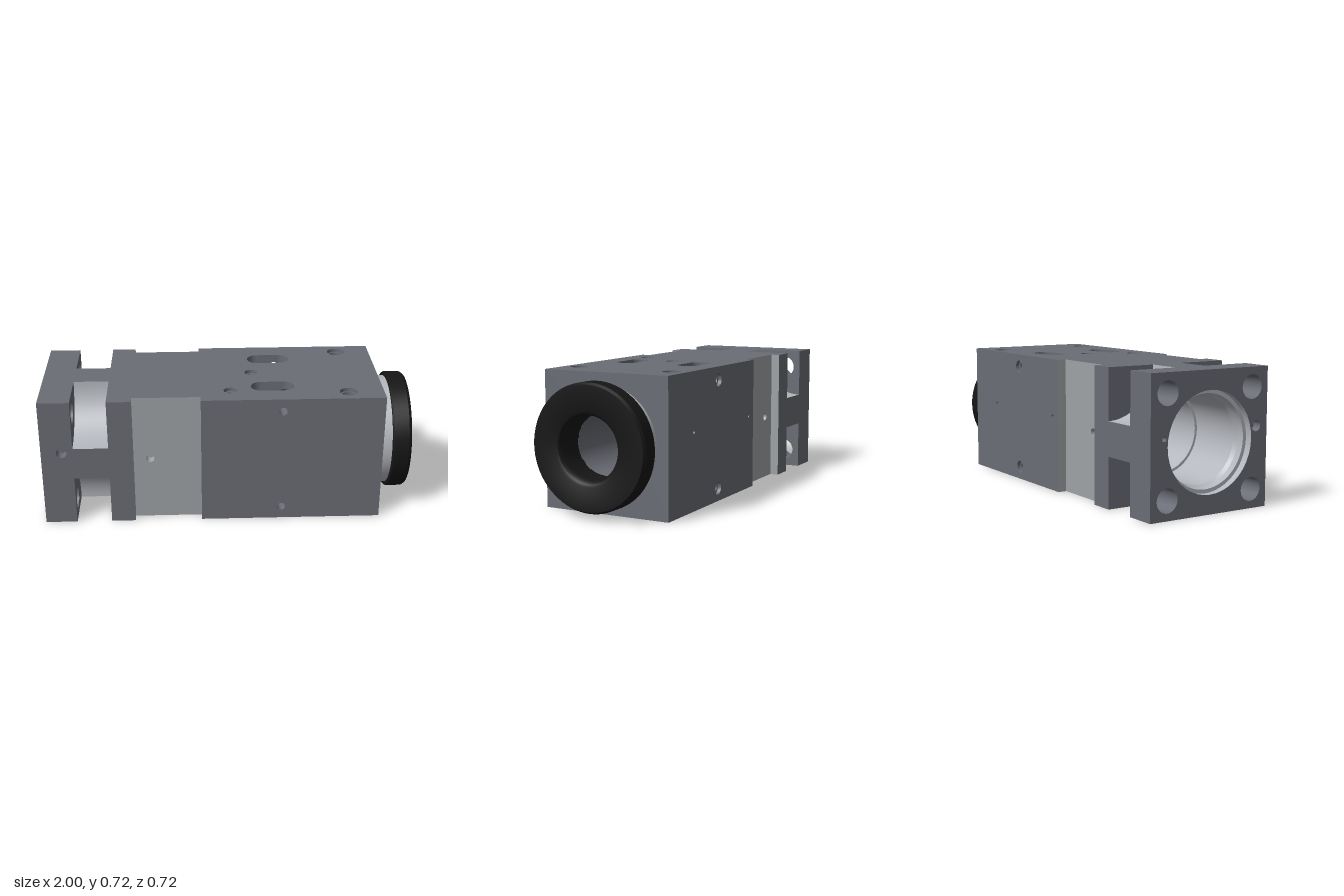
import * as THREE from 'three';
import { mergeGeometries, toCreasedNormals } from 'three/addons/utils/BufferGeometryUtils.js';

const H = 0.36;                       // half the square section
const PI = Math.PI;
const mat = (color) => new THREE.MeshStandardMaterial({ color, side: THREE.DoubleSide });

// Ruled strip between two equally long lists of points
function ruled(a, b) {
  const pos = [], idx = [], n = a.length;
  for (const p of [...a, ...b]) pos.push(p.x, p.y, p.z);
  for (let i = 0; i < n - 1; i++) idx.push(i, i + n, i + 1, i + 1, i + n, i + n + 1);
  const g = new THREE.BufferGeometry();
  g.setAttribute('position', new THREE.Float32BufferAttribute(pos, 3));
  g.setIndex(idx);
  g.computeVertexNormals();
  return g;
}

// Circle, or a slot when half (half the straight length) is above 0
function contour(u, v, r, half = 0) {
  const pts = [], n = 40;
  for (let i = 0; i <= n; i++) {
    const a = -PI / 2 + (i / n) * 2 * PI;
    const side = i < n / 2 ? 1 : -1;
    if (i === n / 2) pts.push(new THREE.Vector2(u + half, v + r));
    pts.push(new THREE.Vector2(u + side * half + r * Math.cos(a), v + r * Math.sin(a)));
  }
  pts.push(pts[0].clone());
  return pts;
}

// Hole: steps are [radius, depth]; null leaves a break in the wall
const hole = (u, v, steps, half = 0) => ({ u, v, steps, half });
const blind = (u, v, r, d) => hole(u, v, [[r, 0], [r, d], [0.0001, d]]);
const counterbore = (u, v, R, r, d) => hole(u, v, [[R, 0], [R, 0.02], [r, 0.02], [r, d]]);

const rect = (u0, v0, u1, v1) => [[u0, v0], [u1, v0], [u1, v1], [u0, v1]];

// Flat face in the local xy plane with hole walls running inward along -z
function faceGeometry(outline, holes = []) {
  const shape = new THREE.Shape(outline.map(([u, v]) => new THREE.Vector2(u, v)));
  const parts = [];
  for (const { u, v, steps, half } of holes) {
    shape.holes.push(new THREE.Path(contour(u, v, steps[0][0], half).slice(0, -2)));
    for (let i = 0; i < steps.length - 1; i++) {
      if (!steps[i] || !steps[i + 1]) continue;
      const [a, b] = [steps[i], steps[i + 1]].map(([r, d]) =>
        contour(u, v, r, half).map((p) => new THREE.Vector3(p.x, p.y, -d)));
      parts.push(ruled(a, b));
    }
  }
  const flat = new THREE.ShapeGeometry(shape);
  flat.deleteAttribute('uv');
  return mergeGeometries([flat, ...parts]);
}

export function createModel() {
  const model = new THREE.Group();
  const body = mat(0x6a6d75), light = mat(0x9fa3a6), silver = mat(0xb4b7bd), black = mat(0x161616);

  const add = (name, geo, material, pos = [0, 0, 0], rot = [0, 0, 0]) => {
    const m = new THREE.Mesh(geo, material);
    m.name = name;
    m.position.set(pos[0], pos[1] + H, pos[2]);
    m.rotation.set(...rot);
    model.add(m);
  };
  const lathe = (name, profile, material) => {
    const g = new THREE.LatheGeometry(profile.map(([r, x]) => new THREE.Vector2(r, x)), 72);
    add(name, toCreasedNormals(g, 0.5), material, [0, 0, 0], [0, 0, -PI / 2]);
  };

  // x stations: flange end, neck, waist recess, front end
  const X0 = -1, X1 = -0.83, X2 = -0.64, X3 = -0.51, X4 = -0.145, X5 = 0.835;
  const N = 0.09, W = 0.312, R = H - N;

  // Top and bottom skins with slots and vertical holes
  const half = [[X0, H], [X1, H], [X1, N], [X2, N], [X2, H], [X3, H], [X3, W], [X4, W], [X4, H], [X5, H]];
  const plan = [...half, ...half.map(([x, v]) => [x, -v]).reverse()];
  for (const s of [1, -1]) {
    const holes = [s > 0 ? counterbore(0.015, -0.235, 0.036, 0.02, 0.36)
      : hole(0.015, 0.235, [[0.02, 0], [0.02, 0.36]])];
    if (s > 0) holes.push(counterbore(0.14, 0, 0.036, 0.02, 0.1));
    for (const k of [1, -1]) {
      holes.push(hole(0.245, k * 0.187,
        [[0.057, 0], [0.057, 0.045], null, [0.057, 0.094], [0.057, 0.2]], 0.06));
      holes.push(s > 0 ? counterbore(0.645, k * 0.275, 0.048, 0.039, 0.1)
        : blind(0.645, k * 0.275, 0.032, 0.08));
    }
    add(s > 0 ? 'topSkin' : 'bottomSkin', faceGeometry(plan, holes), body, [0, s * H, 0], [-s * PI / 2, 0, 0]);
  }
  for (const k of [1, -1]) {
    add('topPlug', new THREE.CircleGeometry(0.04, 32), black, [0.645, H - 0.06, k * 0.275], [-PI / 2, 0, 0]);
  }

  // Front and back walls, with the recessed waist panels
  for (const s of [1, -1]) {
    const rot = [0, s > 0 ? 0 : PI, 0], side = s > 0 ? 'front' : 'back';
    const flange = [[X0, H], [X1, H], [X1, N], [X2, N], [X2, H], [X3, H],
      [X3, -H], [X2, -H], [X2, -N], [X1, -N], [X1, -H], [X0, -H]].map(([x, v]) => [s * x, v]);
    add(side + 'FlangeWall', faceGeometry(flange, s > 0 ? [blind(-0.89, 0.065, 0.028, 0.06)] : []),
      body, [0, 0, s * H], rot);

    const holes = [1, -1].map((k) => s > 0
      ? hole(0.292, k * 0.29, [[0.022, 0], [0.022, 0.1]])
      : counterbore(-0.292, k * 0.29, 0.035, 0.022, 0.1));
    if (s < 0) holes.push(blind(-0.57, 0.05, 0.01, 0.03), blind(0.085, 0.05, 0.01, 0.03));
    add(side + 'MainWall', faceGeometry(rect(s * X4, -H, s * X5, H), holes), body, [0, 0, s * H], rot);

    add(side + 'WaistPanel', faceGeometry(rect(s * X3, -H, s * X4, H), [blind(s * -0.42, 0, 0.022, 0.05)]),
      light, [0, 0, s * W], rot);
    for (const [x, dir] of [[X3, 1], [X4, -1]]) {
      add(side + 'WaistStep', new THREE.PlaneGeometry(H - W, 2 * H), light,
        [x, 0, s * (H + W) / 2], [0, dir * PI / 2, 0]);
    }
  }

  // Flange end with bore, bolt holes and pin holes
  const bolts = [];
  for (const a of [1, -1]) for (const b of [1, -1]) {
    bolts.push(hole(a * 0.26, b * 0.26, [[0.062, 0], [0.062, X1 - X0]]));
  }
  add('flangeEnd', faceGeometry(rect(-H, -H, H, H), [...bolts, hole(0, 0, [[0.26, 0], [0.26, 0.001]]),
    blind(0.29, 0.06, 0.028, 0.05), blind(-0.28, 0.04, 0.012, 0.04)]), body, [X0, 0, 0], [0, -PI / 2, 0]);

  // Scooped corners behind the flange
  for (const a of [1, -1]) for (const b of [1, -1]) {
    const arc = [];
    for (let i = 0; i <= 20; i++) {
      const t = (i / 20) * PI / 2;
      arc.push([a * (H - R * Math.cos(t)), b * (H - R * Math.sin(t))]);
    }
    const at = (x) => arc.map(([z, y]) => new THREE.Vector3(x, y, z));
    add('cornerScoop', ruled(at(X1), at(X2)), silver);
    const sector = [[a * H, b * H], ...arc];
    const mirrored = sector.map(([z, y]) => [-z, y]);
    add('flangeBack', faceGeometry(mirrored, [hole(-a * 0.26, b * 0.26, [[0.062, 0], [0.062, 0.001]])]),
      body, [X1, 0, 0], [0, PI / 2, 0]);
    add('scoopShoulder', faceGeometry(sector), body, [X2, 0, 0], [0, -PI / 2, 0]);
  }

  // Outlet end wall
  add('outletEnd', faceGeometry(rect(-H, -H, H, H), [hole(0, 0, [[0.16, 0], [0.16, 0.001]])]),
    body, [X5, 0, 0], [0, PI / 2, 0]);

  // Stepped bore
  lathe('inletBore', [[0.26, -1], [0.26, -0.96], [0.24, -0.96], [0.24, -0.92], [0.228, -0.9],
    [0.228, -0.6], [0.214, -0.6], [0.214, 0.1], [0.16, 0.1]], silver);
  lathe('outletBore', [[0.3, 0.4], [0.16, 0.4], [0.16, 0.84]], body);

  // Metal collar and black end ring
  lathe('collar', [[0.29, 0.83], [0.29, 0.845], [0.303, 0.845], [0.303, 0.9]], silver);
  lathe('endRing', [[0.29, 0.897], [0.318, 0.897], [0.325, 0.904], [0.325, 0.985], [0.315, 1],
    [0.19, 1], [0.175, 0.994], [0.164, 0.98], [0.16, 0.96], [0.16, 0.835]], black);

  return model;
}
